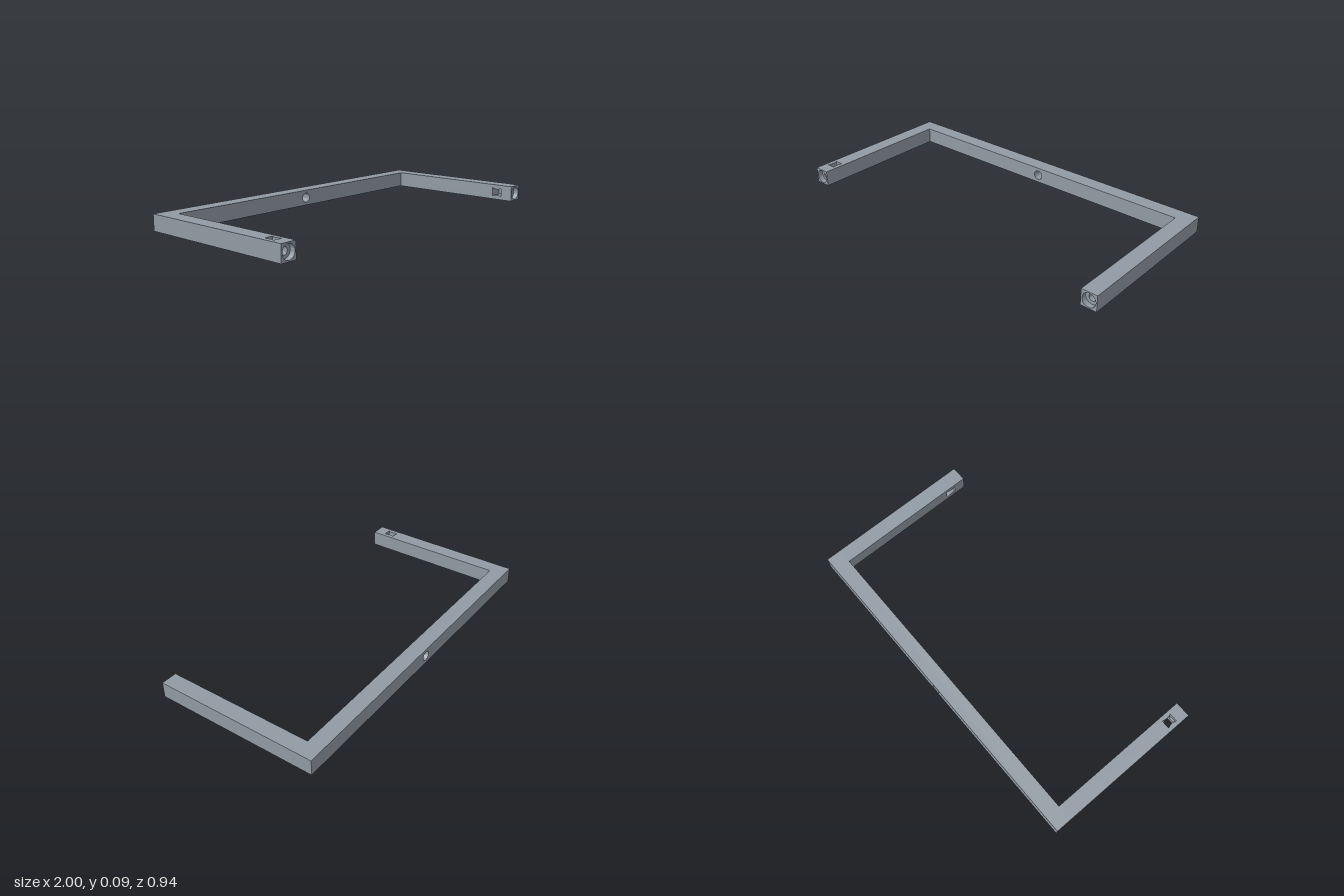
import * as THREE from 'three';
import { toCreasedNormals } from 'three/addons/utils/BufferGeometryUtils.js';

const T = 0.09;          // side of the square section
const H = T / 2;
const BACK = -0.47, FRONT = 0.47;
const SLOT0 = 0.34, SLOT1 = 0.4;

const material = new THREE.MeshStandardMaterial({ color: 0x919ba4 });

function mesh(name, geometry) {
  const m = new THREE.Mesh(geometry, material);
  m.name = name;
  return m;
}

function extrude(shape, depth) {
  const g = new THREE.ExtrudeGeometry(shape, { depth, bevelEnabled: false, curveSegments: 32 });
  return toCreasedNormals(g, 0.6);
}

// Rectangular block with a round hole along z, from z0 to z1
function boredBlock(name, width, radius, z0, z1) {
  const w = width / 2;
  const shape = new THREE.Shape();
  shape.moveTo(-w, -H).lineTo(w, -H).lineTo(w, H).lineTo(-w, H).closePath();
  const hole = new THREE.Path();
  hole.absarc(0, 0, radius, 0, Math.PI * 2, true);
  shape.holes.push(hole);
  const m = mesh(name, extrude(shape, z1 - z0));
  m.position.z = z0;
  return m;
}

// Wall beside the slot, its inner face bulging towards the middle
function slotWall(side, floor) {
  const inner = 0.025 * side, waist = 0.011 * side, outer = H * side;
  const shape = new THREE.Shape();
  shape.moveTo(outer, -SLOT0);
  shape.lineTo(inner, -SLOT0);
  shape.quadraticCurveTo(waist, -(SLOT0 + SLOT1) / 2, inner, -SLOT1);
  shape.lineTo(outer, -SLOT1);
  shape.closePath();
  const g = extrude(shape, T - floor);
  g.rotateX(-Math.PI / 2);
  g.translate(0, floor - H, 0);
  return mesh('slotWall', g);
}

// Arm along z with a slot opening upwards; floor > 0 makes the slot blind
function arm(name, floor) {
  const group = new THREE.Group();
  group.name = name;
  const start = BACK + T;
  const beam = mesh('armBeam', new THREE.BoxGeometry(T, T, SLOT0 - start));
  beam.position.z = (start + SLOT0) / 2;
  group.add(beam);

  for (const side of [-1, 1]) group.add(slotWall(side, floor));
  if (floor > 0) {
    const plate = mesh('slotFloor', new THREE.BoxGeometry(T, floor, SLOT1 - SLOT0));
    plate.position.set(0, floor / 2 - H, (SLOT0 + SLOT1) / 2);
    group.add(plate);
  }

  // Stepped bore in the end of the arm, opening into the slot
  group.add(boredBlock('boreCollar', T, 0.02, SLOT1, 0.44));
  group.add(boredBlock('counterbore', T, 0.038, 0.44, FRONT));
  return group;
}

export function createModel() {
  const model = new THREE.Group();
  model.name = 'frame';

  // Back bar with a central hole
  const bar = boredBlock('backBar', 2, 0.027, BACK, BACK + T);
  bar.position.y = H;
  model.add(bar);

  // Right arm: slot runs straight through from top to bottom
  const right = arm('rightArm', 0);
  right.position.set(-1 + H, H, 0);
  model.add(right);

  // Left arm: blind slot turned to face inwards
  const left = arm('leftArm', 0.012);
  left.position.set(1 - H, H, 0);
  left.rotation.z = Math.PI / 2;
  model.add(left);

  return model;
}
